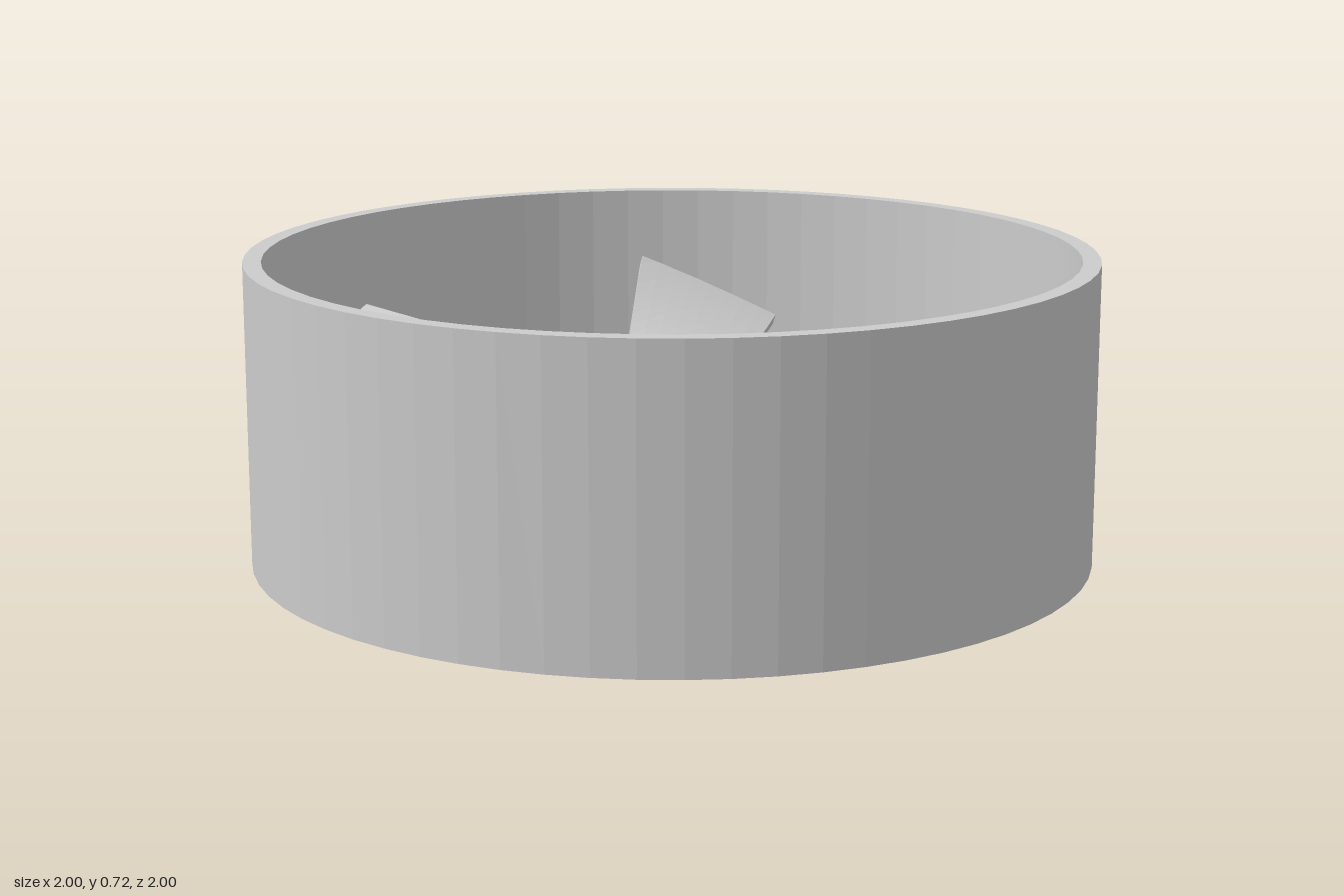
import * as THREE from 'three';

const material = new THREE.MeshStandardMaterial({ color: 0xcccccc, flatShading: true });
const HEIGHT = 0.72, OUTER = 1, INNER = 0.957, THICK = 0.026;

// Open cylindrical duct with a thin rectangular wall
function createRing() {
  const profile = [[INNER, 0], [OUTER, 0], [OUTER, HEIGHT], [INNER, HEIGHT], [INNER, 0]]
    .map(([r, y]) => new THREE.Vector2(r, y));
  const ring = new THREE.Mesh(new THREE.LatheGeometry(profile, 64), material);
  ring.name = 'outerRing';
  return ring;
}

// Twisted, bent plate swept from root to tip through closed cross-sections.
// corners: root A, root B, tip A, tip B of the upper face; bend: mid-span rise
function createBlade(corners, bend) {
  const [rootA, rootB, tipA, tipB] = corners.map(c => new THREE.Vector3(...c));
  const along = tipA.clone().add(tipB).sub(rootA).sub(rootB);
  const across = rootB.clone().add(tipB).sub(rootA).sub(tipA);
  const down = along.clone().cross(across).setLength(THICK);
  const outward = along.clone().setY(0).normalize();
  const nu = 10, nv = 8, loop = 2 * (nv + 1);
  const positions = [], index = [];

  for (let i = 0; i <= nu; i++) {
    const u = i / nu;
    const a = rootA.clone().lerp(tipA, u), b = rootB.clone().lerp(tipB, u);
    for (let j = 0; j < loop; j++) {
      const top = j <= nv;
      const v = (top ? j : loop - 1 - j) / nv;
      const p = a.clone().lerp(b, v);
      p.y += bend * 4 * u * (1 - u);
      p.addScaledVector(outward, 0.018 * u * 4 * v * (1 - v)); // rounded tip
      if (!top) p.add(down);
      positions.push(p.x, p.y, p.z);
    }
  }
  for (let i = 0; i < nu; i++) {
    for (let j = 0; j < loop; j++) {
      const k = (j + 1) % loop, p = i * loop, q = p + loop;
      index.push(p + j, p + k, q + k, p + j, q + k, q + j);
    }
  }
  // Root and tip end faces
  for (let j = 0; j < nv; j++) {
    const t0 = j, t1 = j + 1, b0 = loop - 1 - j, b1 = loop - 2 - j, e = nu * loop;
    index.push(t0, b0, t1, t1, b0, b1);
    index.push(e + t0, e + t1, e + b0, e + t1, e + b1, e + b0);
  }
  const geometry = new THREE.BufferGeometry();
  geometry.setAttribute('position', new THREE.Float32BufferAttribute(positions, 3));
  geometry.setIndex(index);
  geometry.computeVertexNormals();
  return new THREE.Mesh(geometry, material);
}

// Each blade has its own pitch and bend
const blades = [
  { bend: 0.035, corners: [[0.30, 0.35, -0.18], [0.235, 0.375, 0.10], [0.914, 0.19, -0.246], [0.952, 0.22, 0.112]] },
  { bend: -0.04, corners: [[0.26, 0.387, 0.23], [-0.03, 0.387, 0.25], [0.567, 0.574, 0.759], [0.225, 0.589, 0.909]] },
  { bend: 0.045, corners: [[-0.15, 0.374, 0.32], [-0.25, 0.352, 0.05], [-0.60, 0.27, 0.733], [-0.834, 0.16, 0.439]] },
  { bend: 0, corners: [[-0.35, 0.356, -0.05], [-0.13, 0.384, -0.23], [-0.89, 0.337, -0.363], [-0.71, 0.49, -0.645]] },
  { bend: 0, corners: [[-0.07, 0.398, -0.35], [0.17, 0.362, -0.20], [0.04, 0.545, -0.963], [0.39, 0.389, -0.877]] },
];

export function createModel() {
  const model = new THREE.Group();
  model.name = 'ductedFan';
  model.add(createRing());
  blades.forEach(({ corners, bend }, i) => {
    const blade = createBlade(corners, bend);
    blade.name = `blade${i + 1}`;
    model.add(blade);
  });
  return model;
}
